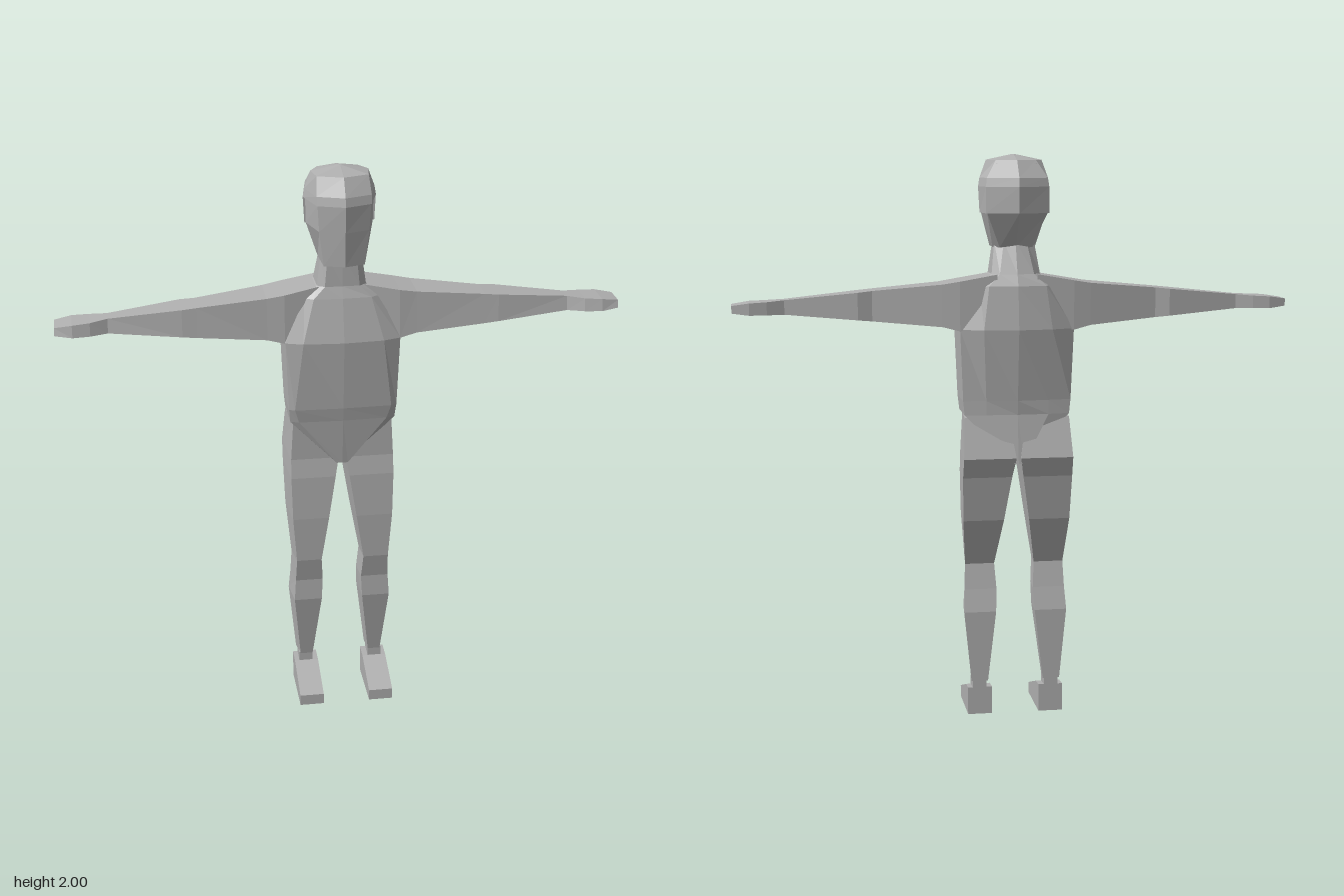
import * as THREE from 'three';

// Closed skin through rings of [x, y, z] points, turned outward by its signed volume
function loft(rings) {
  const n = rings[0].length;
  const tris = [];
  for (let r = 0; r < rings.length - 1; r++) {
    for (let i = 0; i < n; i++) {
      const j = (i + 1) % n;
      const a = rings[r][i], b = rings[r][j], c = rings[r + 1][j], d = rings[r + 1][i];
      tris.push([a, b, c], [a, c, d]);
    }
  }
  const first = rings[0], last = rings[rings.length - 1];
  for (let i = 1; i < n - 1; i++) {
    tris.push([first[0], first[i + 1], first[i]], [last[0], last[i], last[i + 1]]);
  }
  let volume = 0;
  for (const [a, b, c] of tris) {
    volume += a[0] * (b[1] * c[2] - b[2] * c[1])
            + a[1] * (b[2] * c[0] - b[0] * c[2])
            + a[2] * (b[0] * c[1] - b[1] * c[0]);
  }
  if (volume < 0) tris.forEach((t) => t.reverse());
  const geo = new THREE.BufferGeometry();
  geo.setAttribute('position', new THREE.Float32BufferAttribute(tris.flat(2), 3));
  geo.computeVertexNormals();
  return geo;
}

// Symmetric ring at height y; half = [x, z] points from front centre to back centre
function ring(y, half) {
  const other = half.slice(1, -1).reverse().map(([x, z]) => [-x, z]);
  return [...half, ...other].map(([x, z]) => [x, y, z]);
}

export function createModel() {
  const group = new THREE.Group();
  const grey = new THREE.MeshStandardMaterial({ color: 0xb0b0b0, flatShading: true });
  grey.name = 'plain grey';
  const add = (name, geo) => {
    const mesh = new THREE.Mesh(geo, grey);
    mesh.name = name;
    group.add(mesh);
  };

  // Torso from neck to crotch
  add('torso', loft([
    ring(1.70, [[0, 0.05], [0.05, 0.045], [0.07, 0.02], [0.07, -0.03], [0.04, -0.055], [0, -0.065]]),
    ring(1.59, [[0, 0.05], [0.06, 0.05], [0.085, 0.03], [0.085, -0.07], [0.06, -0.10], [0, -0.11]]),
    ring(1.55, [[0, 0.065], [0.10, 0.06], [0.13, 0.04], [0.13, -0.09], [0.10, -0.12], [0, -0.13]]),
    ring(1.40, [[0, 0.10], [0.14, 0.09], [0.20, 0.07], [0.20, -0.105], [0.12, -0.135], [0, -0.15]]),
    ring(1.15, [[0, 0.08], [0.17, 0.075], [0.19, 0.065], [0.19, -0.10], [0.11, -0.11], [0, -0.12]]),
    ring(1.10, [[0, 0.072], [0.155, 0.066], [0.185, 0.055], [0.185, -0.10], [0.11, -0.11], [0, -0.115]]),
    ring(0.93, [[0, 0.055], [0.02, 0.053], [0.025, 0.04], [0.025, -0.11], [0.02, -0.138], [0, -0.14]]),
  ]));

  // Head, slightly narrower than the hair around it
  add('head', loft([
    ring(1.68, [[0, 0.118], [0.07, 0.095], [0.075, -0.02], [0.055, -0.06], [0, -0.065]]),
    ring(1.80, [[0, 0.126], [0.085, 0.095], [0.115, -0.02], [0.105, -0.11], [0, -0.15]]),
    ring(1.89, [[0, 0.13], [0.09, 0.095], [0.117, -0.02], [0.105, -0.11], [0, -0.152]]),
    ring(1.97, [[0, 0.09], [0.08, 0.06], [0.09, -0.02], [0.07, -0.08], [0, -0.1]]),
  ]));
  add('hairTop', loft([
    ring(1.89, [[0, 0.131], [0.093, 0.097], [0.125, -0.02], [0.11, -0.112], [0, -0.157]]),
    ring(1.92, [[0, 0.124], [0.093, 0.09], [0.12, -0.02], [0.106, -0.107], [0, -0.15]]),
    ring(1.98, [[0, 0.085], [0.088, 0.055], [0.098, -0.02], [0.07, -0.07], [0, -0.10]]),
    ring(2.00, [[0, 0], [0.004, -0.002], [0.005, -0.01], [0.004, -0.016], [0, -0.02]]),
  ]));
  add('hairBack', loft([
    ring(1.80, [[0, -0.02], [0.12, -0.02], [0.11, -0.112], [0, -0.155]]),
    ring(1.89, [[0, -0.02], [0.125, -0.02], [0.11, -0.112], [0, -0.157]]),
  ]));

  // Arm sections: x, bottom y, top y, back z, front z
  const armSections = [
    [0.07, 1.42, 1.59, -0.11, 0.045],
    [0.20, 1.395, 1.567, -0.108, 0.06],
    [0.26, 1.41, 1.557, -0.10, 0.056],
    [0.50, 1.43, 1.535, -0.062, 0.052],
    [0.55, 1.435, 1.53, -0.07, 0.052],
    [0.80, 1.455, 1.505, -0.035, 0.03],
    [0.86, 1.455, 1.50, -0.05, 0.052],
    [0.92, 1.455, 1.497, -0.055, 0.06],
    [0.98, 1.462, 1.488, -0.042, 0.05],
  ];
  // Leg sections: y, inner x, outer x, back z, front z
  const legSections = [
    [1.09, 0.03, 0.185, -0.10, 0.053],
    [0.95, 0.008, 0.193, -0.145, 0.05],
    [0.88, 0.02, 0.194, -0.12, 0.06],
    [0.72, 0.045, 0.19, -0.09, 0.066],
    [0.55, 0.072, 0.177, -0.027, 0.06],
    [0.46, 0.066, 0.18, -0.045, 0.042],
    [0.38, 0.07, 0.185, -0.065, 0.045],
    [0.125, 0.10, 0.16, -0.065, 0],
  ];
  // Foot sections: z, top y
  const footSections = [[-0.06, 0.1], [0, 0.095], [0.16, 0.04]];

  for (const [side, s] of [['left', 1], ['right', -1]]) {
    add(side + 'Arm', loft(armSections.map(([x, y0, y1, z0, z1]) => [
      [s * x, y0, z0], [s * x, y0, z1], [s * x, y1, z1 - 0.008], [s * x, y1, z0],
    ])));
    add(side + 'Leg', loft(legSections.map(([y, x0, x1, z0, z1]) => [
      [s * x0, y, z0], [s * (x0 + 0.005), y, z1], [s * (x1 - 0.01), y, z1], [s * x1, y, z0],
    ])));
    const ankle = new THREE.BoxGeometry(0.05, 0.04, 0.06);
    ankle.translate(s * 0.13, 0.11, -0.031);
    add(side + 'Ankle', ankle);
    add(side + 'Foot', loft(footSections.map(([z, y]) => [
      [s * 0.085, 0, z], [s * 0.172, 0, z], [s * 0.172, y, z], [s * 0.085, y, z],
    ])));
  }
  return group;
}
